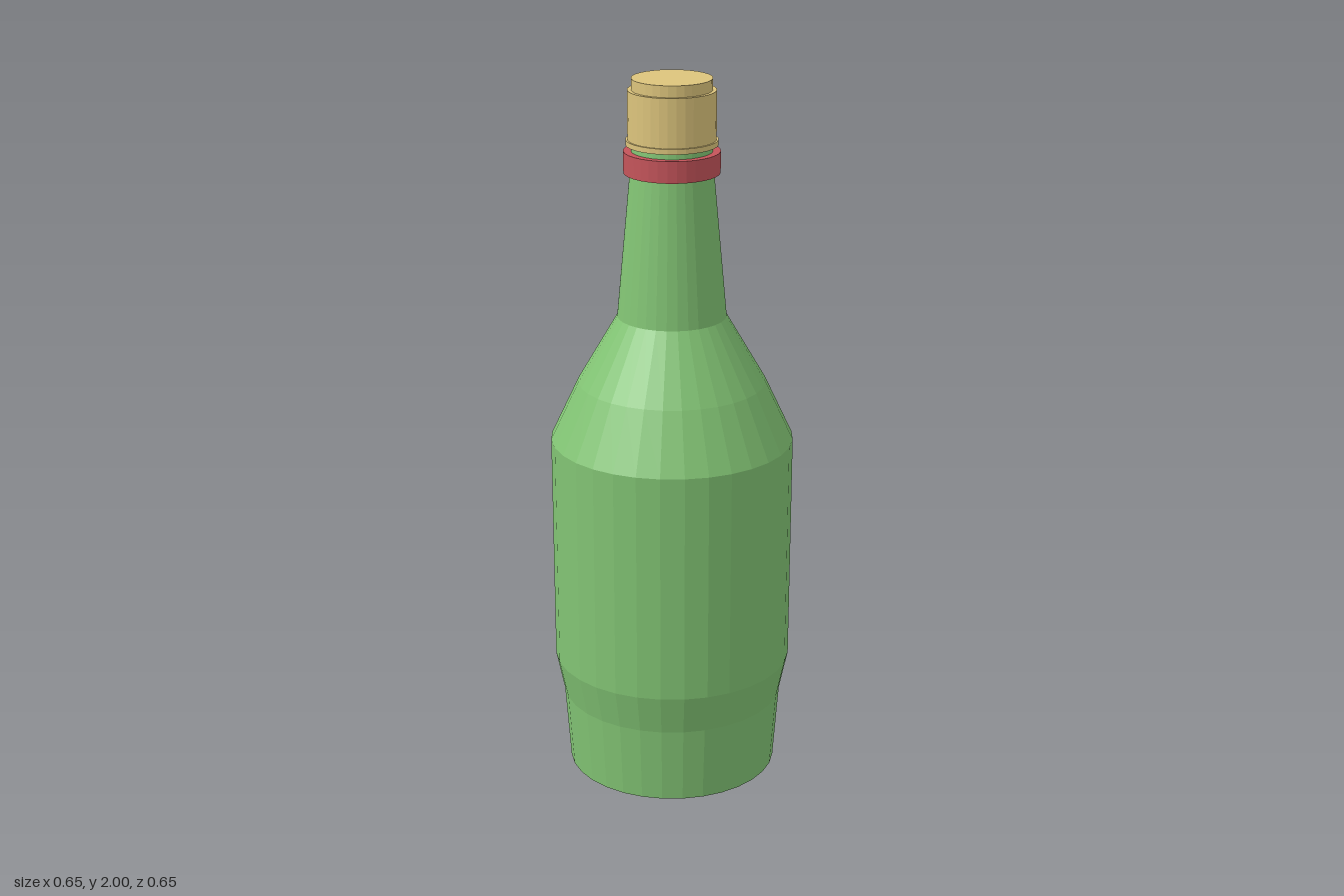
import * as THREE from 'three';

const SEGMENTS = 32;

function material(name, color) {
  const m = new THREE.MeshStandardMaterial({ color, flatShading: true });
  m.name = name;
  return m;
}

// Turns a [radius, height] profile, listed bottom to top, around the y axis
function turned(name, profile, mat) {
  const points = profile.map(([r, y]) => new THREE.Vector2(r, y));
  const mesh = new THREE.Mesh(new THREE.LatheGeometry(points, SEGMENTS), mat);
  mesh.name = name;
  return mesh;
}

export function createModel() {
  const green = material('bottle green', 0x82c474);
  const red = material('band red', 0xc4545a);
  const tan = material('cork tan', 0xdcc47c);

  const group = new THREE.Group();
  group.name = 'bottle';

  group.add(
    // Glass: pointed base, tapered foot, straight body, shoulder and neck
    turned('glass', [
      [0, 0], [0.285, 0.08], [0.3, 0.29], [0.323, 0.4], [0.325, 1.03],
      [0.25, 1.19], [0.145, 1.37], [0.11, 1.75], [0.105, 1.83], [0, 1.83],
    ], green),
    // Ring around the top of the neck
    turned('neckBand', [
      [0.108, 1.755], [0.126, 1.755], [0.126, 1.812], [0.104, 1.812],
    ], red),
    // Stopper: thin lip, wide barrel and stepped top
    turned('stopper', [
      [0, 1.828], [0.12, 1.828], [0.12, 1.842], [0.115, 1.842],
      [0.115, 1.97], [0.105, 1.97], [0.105, 2], [0, 2],
    ], tan),
  );
  return group;
}
